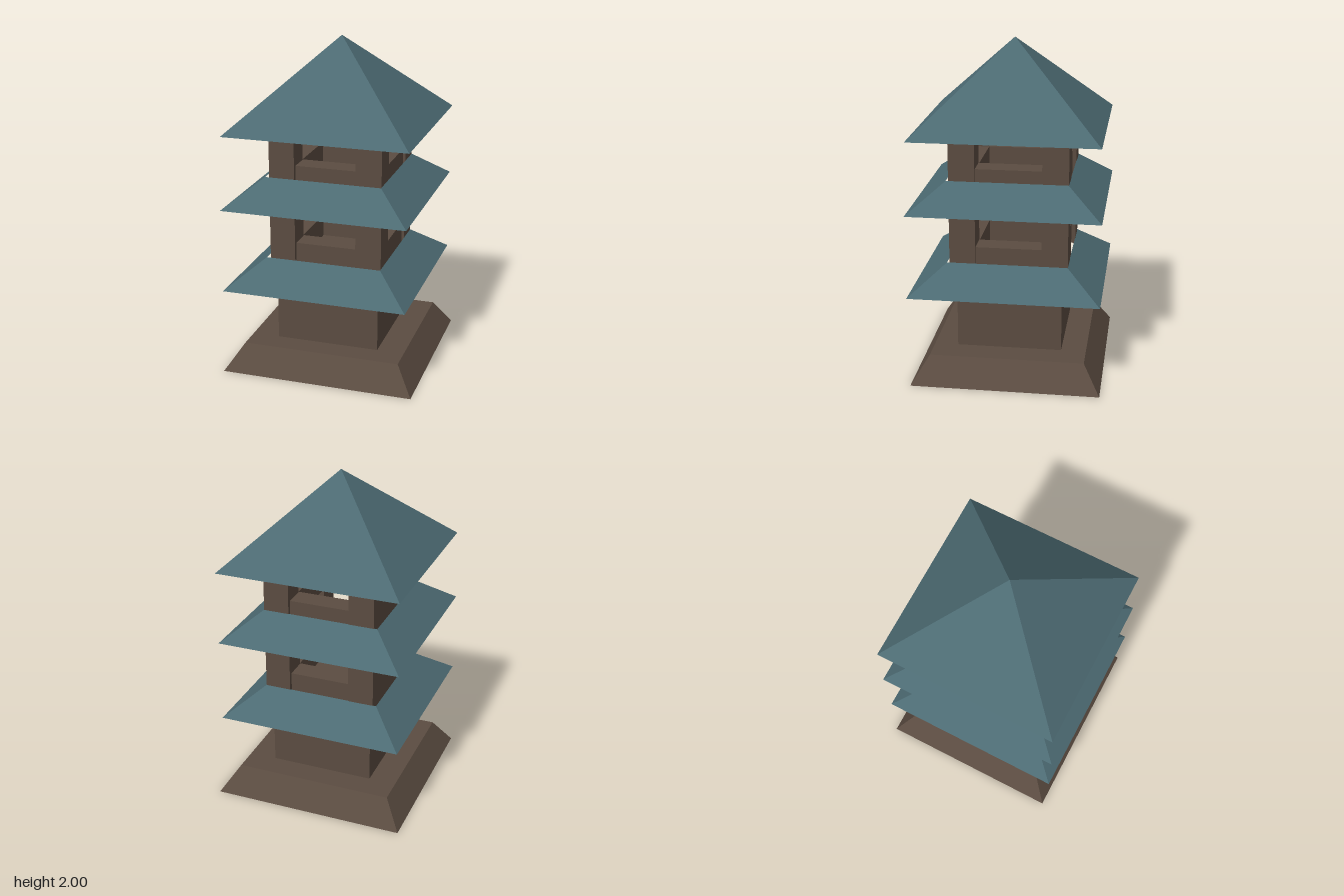
import * as THREE from 'three';

export function createModel() {
  const model = new THREE.Group();
  model.name = 'pagoda';

  const wood = new THREE.MeshStandardMaterial({ color: 0x5b4c41, side: THREE.DoubleSide });
  wood.name = 'brown wood';
  const tile = new THREE.MeshStandardMaterial({ color: 0x4c6a72, side: THREE.DoubleSide });
  tile.name = 'slate blue tile';

  const add = (name, geometry, material, x, y, z, parent = model) => {
    const mesh = new THREE.Mesh(geometry, material);
    mesh.name = name;
    mesh.position.set(x, y, z);
    parent.add(mesh);
    return mesh;
  };

  // Open four-sided shell between two square outlines, given as half widths
  const shell = (name, material, bottom, top, y0, y1, x = 0, z = 0, depth = 1) => {
    const indexed = new THREE.CylinderGeometry(top * Math.SQRT2, bottom * Math.SQRT2, y1 - y0, 4, 1, true);
    indexed.rotateY(Math.PI / 4);
    indexed.scale(1, 1, depth);
    const geometry = indexed.toNonIndexed();
    geometry.computeVertexNormals();
    return add(name, geometry, material, x, (y0 + y1) / 2, z);
  };

  // Horizontal square plate
  const plate = (name, width, depth, y, z) => {
    const geometry = new THREE.PlaneGeometry(width, depth).rotateX(-Math.PI / 2);
    return add(name, geometry, wood, 0, y, z);
  };

  // Sloped base, open underneath
  shell('base', wood, 0.585, 0.48, 0, 0.16, 0, -0.011, 0.96);
  plate('baseTop', 0.96, 0.922, 0.16, -0.011);
  model.getObjectByName('base').scale.z = 1.0;

  // Hollow lower body, reaching a little below the base top
  shell('lowerBody', wood, 0.315, 0.315, 0.08, 0.66, 0, -0.007);
  plate('lowerBodyTop', 0.63, 0.63, 0.66, -0.007);

  // Four corner posts running through both open storeys
  const posts = new THREE.Group();
  posts.name = 'cornerPosts';
  model.add(posts);
  for (const sx of [-1, 1]) {
    for (const sz of [-1, 1]) {
      add('cornerPost', new THREE.BoxGeometry(0.155, 0.92, 0.155), wood,
        sx * 0.264, 1.13, sz * 0.275 - 0.005, posts);
    }
  }

  // Each storey: a ring of thick rails and a sloped skirt roof below it
  [0.65, 1.13].forEach((y, i) => {
    const rails = new THREE.Group();
    rails.name = i ? 'upperRails' : 'lowerRails';
    model.add(rails);
    for (const s of [-1, 1]) {
      add('rail', new THREE.BoxGeometry(0.38, 0.15, 0.135), wood, 0, y + 0.075, s * 0.26 - 0.005, rails);
      add('sideRail', new THREE.BoxGeometry(0.135, 0.15, 0.4), wood, s * 0.257, y + 0.075, -0.005, rails);
    }
    const roofY = i ? 1.045 : 0.54;
    shell(i ? 'upperSkirtRoof' : 'lowerSkirtRoof', tile, 0.555, 0.352, roofY, roofY + 0.162, -0.01, 0.003, 1.02);
  });

  // Pyramid roof, open underneath
  shell('topRoof', tile, 0.553, 0, 1.485, 2, -0.003, 0);

  return model;
}
